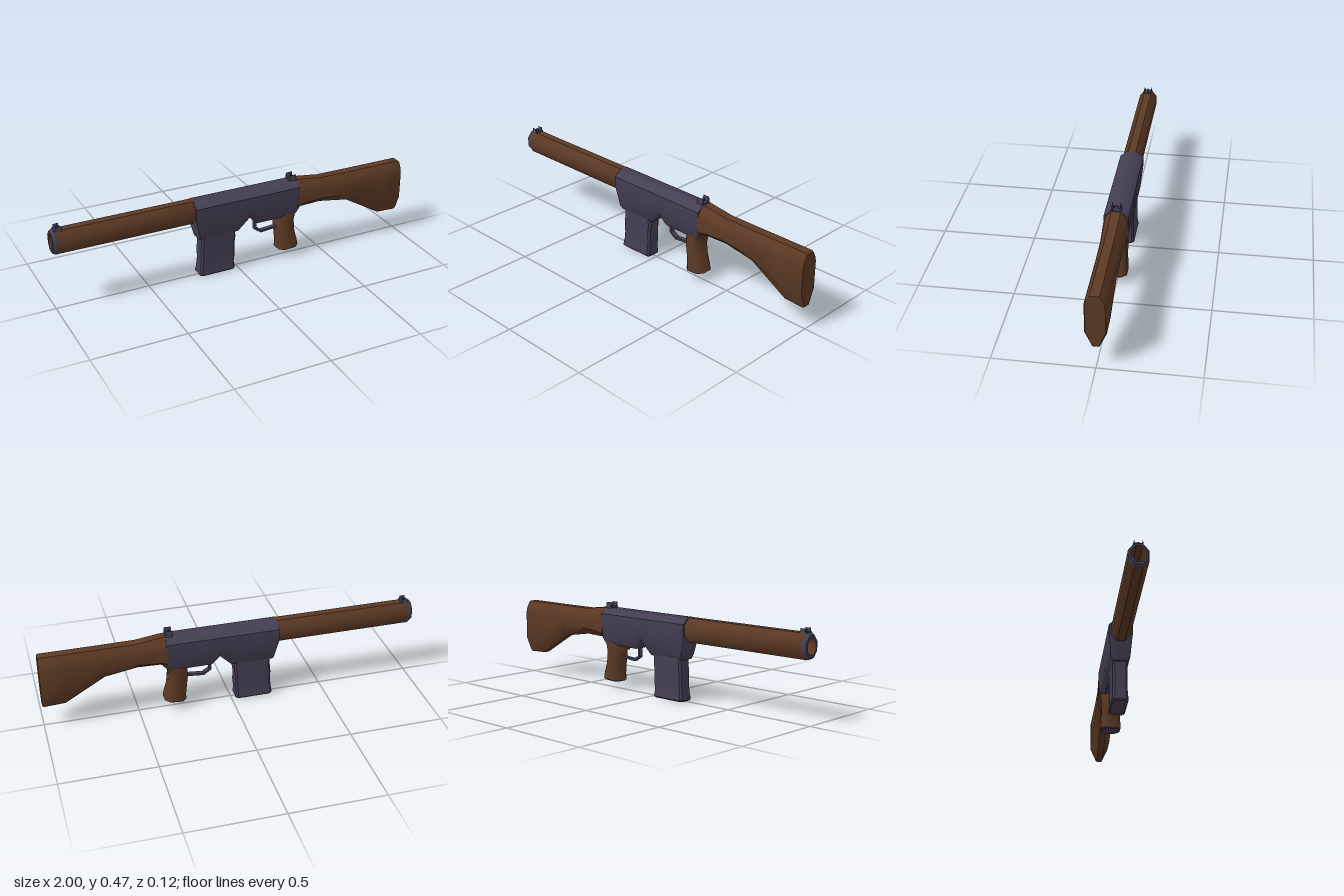
import * as THREE from 'three';
import { toCreasedNormals } from 'three/addons/utils/BufferGeometryUtils.js';

const wood = new THREE.MeshStandardMaterial({ color: 0x5c3924 });
wood.name = 'wood';
const metal = new THREE.MeshStandardMaterial({ color: 0x443e52 });
metal.name = 'gunmetal';

// Closed skin through rings of [x, y, z] points, with both ends capped
function loft(rings, crease = 0.6) {
  const n = rings[0].length;
  const pos = rings.flat(2);
  const idx = [];
  for (let i = 0; i < rings.length - 1; i++) {
    for (let j = 0; j < n; j++) {
      const a = i * n + j, b = i * n + (j + 1) % n;
      idx.push(a, b, a + n, b, b + n, a + n);
    }
  }
  const last = (rings.length - 1) * n;
  for (let j = 1; j < n - 1; j++) {
    idx.push(0, j + 1, j, last, last + j, last + j + 1);
  }
  // Turn the faces outward if the rings run the other way
  const p = i => new THREE.Vector3().fromArray(pos, i * 3);
  let volume = 0;
  for (let i = 0; i < idx.length; i += 3) {
    volume += p(idx[i]).dot(p(idx[i + 1]).cross(p(idx[i + 2])));
  }
  if (volume < 0) idx.reverse();
  const g = new THREE.BufferGeometry();
  g.setAttribute('position', new THREE.Float32BufferAttribute(pos, 3));
  g.setIndex(idx);
  return toCreasedNormals(g, crease);
}

// Mirrored ring at x from half a profile of [halfWidth, y], top to bottom
const ringX = (x, half) => [
  ...half.map(([w, y]) => [x, y, w]),
  ...half.slice().reverse().map(([w, y]) => [x, y, -w]),
];

// Chamfered rectangular ring at y; tilt raises the ring toward +x
function ringY(y, x0, x1, w, c, tilt = 0) {
  return [
    [x0, -w + c], [x0 + c, -w], [x1 - c, -w], [x1, -w + c],
    [x1, w - c], [x1 - c, w], [x0 + c, w], [x0, w - c],
  ].map(([x, z]) => [x, y + tilt * (x - x0), z]);
}

// Octagonal turned part along the barrel; points are [radius, distance toward muzzle]
function turned(points) {
  const k = 1 / Math.cos(Math.PI / 8);
  const g = new THREE.LatheGeometry(points.map(([r, d]) => new THREE.Vector2(r * k, d)), 8, Math.PI / 8);
  g.rotateZ(Math.PI / 2);
  g.scale(1, 1, 0.78);
  g.translate(0, 0.378, 0);
  return toCreasedNormals(g, 0.85);
}

// Flat outline in the x-y plane, centred on z
function plate(points, depth, z = 0) {
  const shape = new THREE.Shape(points.map(([x, y]) => new THREE.Vector2(x, y)));
  const g = new THREE.ExtrudeGeometry(shape, { depth, bevelEnabled: false });
  g.translate(0, 0, z - depth / 2);
  return g;
}

export function createModel() {
  const model = new THREE.Group();
  const add = (name, geometry, material) => {
    const mesh = new THREE.Mesh(geometry, material);
    mesh.name = name;
    model.add(mesh);
    return mesh;
  };

  // Receiver: stations of [x, underside height]
  const stations = [[-0.25, 0.32], [-0.225, 0.22], [0, 0.22], [0.065, 0.285],
    [0.11, 0.24], [0.33, 0.24], [0.35, 0.265]];
  add('receiver', loft(stations.map(([x, b]) => {
    const w = 0.05 + (b - 0.22) * 0.08;
    return ringX(x, [[0.025, 0.44], [0.062, 0.41], [0.062, 0.36], [w, b + 0.022], [w - 0.018, b]]);
  }), 0.8), metal);

  // Barrel shroud, muzzle ring and bore
  add('barrelShroud', turned([[0.0625, 0.24], [0.0625, 0.975]]), wood);
  add('muzzleRing', turned([[0.0625, 0.975], [0.0635, 0.978], [0.0625, 0.985], [0.054, 1], [0.041, 1]]), metal);
  add('bore', turned([[0.041, 1], [0.041, 0.85], [0, 0.85]]), wood);

  // Shoulder stock: stations of [x, top, bottom, half width, bottom chamfer]
  const stock = [[0.345, 0.44, 0.262, 0.061, 0.035], [0.38, 0.437, 0.274, 0.06, 0.035],
    [0.5, 0.421, 0.278, 0.054, 0.035], [0.67, 0.42, 0.25, 0.052, 0.045],
    [0.88, 0.42, 0.127, 0.052, 0.08], [0.992, 0.42, 0.122, 0.052, 0.08],
    [1, 0.414, 0.13, 0.047, 0.08]];
  add('stock', loft(stock.map(([x, t, b, w, c]) => ringX(x, [
    [0.023, t], [w * 0.85, t - 0.03], [w, t - 0.058], [w, b + c], [0.016, b],
  ])), 0.75), wood);

  // Pistol grip: [height, front edge, rear edge, half width]
  const grip = [[0.27, 0.25, 0.375, 0.05], [0.235, 0.24, 0.345, 0.05], [0.2, 0.235, 0.337, 0.05],
    [0.13, 0.243, 0.344, 0.05], [0.075, 0.25, 0.358, 0.053], [0.046, 0.247, 0.364, 0.053]];
  add('pistolGrip', loft(grip.map(([y, a, b, w]) => ringY(y, a, b, w, 0.025, 0.08)), 0.9), wood);
  add('gripCap', loft([
    ringY(0.047, 0.25, 0.361, 0.05, 0.025, 0.08), ringY(0.041, 0.254, 0.357, 0.046, 0.025, 0.08),
  ]), metal);

  // Magazine with a slightly waved side and flared foot
  const magazine = [[0.24, -0.208, -0.016, 0.039], [0.19, -0.209, -0.014, 0.038],
    [0.14, -0.214, -0.02, 0.038], [0.09, -0.212, -0.018, 0.038], [0.04, -0.218, -0.024, 0.038],
    [0.014, -0.222, -0.021, 0.042], [0.007, -0.222, -0.021, 0.042], [0, -0.217, -0.026, 0.036]];
  add('magazine', loft(magazine.map(([y, a, b, w]) => ringY(y, a, b, w, 0.01)), 0.6), metal);

  // Trigger guard strap and trigger
  add('triggerGuard', plate([[0.107, 0.25], [0.107, 0.193], [0.147, 0.166], [0.25, 0.176],
    [0.25, 0.187], [0.151, 0.178], [0.119, 0.199], [0.119, 0.25]], 0.024), metal);
  add('trigger', plate([[0.19, 0.25], [0.196, 0.222], [0.204, 0.222], [0.212, 0.25]], 0.01), metal);

  // Front sight: base, post and low ears
  const frontBase = new THREE.BoxGeometry(0.04, 0.008, 0.044);
  frontBase.translate(-0.962, 0.442, 0);
  add('frontSightBase', frontBase, metal);
  add('frontSightPost', plate([[-0.972, 0.44], [-0.952, 0.44], [-0.956, 0.458], [-0.968, 0.458]], 0.005), metal);

  // Rear sight: base, aperture ring and tapered ears
  const rearBase = new THREE.BoxGeometry(0.04, 0.01, 0.05);
  rearBase.translate(0.328, 0.441, 0);
  add('rearSightBase', rearBase, metal);
  const aperture = new THREE.TorusGeometry(0.01, 0.0016, 6, 8);
  aperture.rotateY(Math.PI / 2);
  aperture.translate(0.328, 0.456, 0);
  add('rearSightRing', aperture, metal);

  const ear = (x, w, top, z, s) => loft([
    ringX(x - w, [[0.006, 0.438], [0.001, top]]).map(([a, b, c]) => [a, b, c * s + z]),
    ringX(x + w, [[0.006, 0.438], [0.001, top]]).map(([a, b, c]) => [a, b, c * s + z]),
  ]);
  for (const side of [-1, 1]) {
    const label = side > 0 ? 'Left' : 'Right';
    add('frontSightEar' + label, ear(-0.962, 0.014, 0.462, side * 0.02, 0.8), metal);
    add('rearSightEar' + label, ear(0.328, 0.018, 0.47, side * 0.021, 1), metal);
  }

  return model;
}
